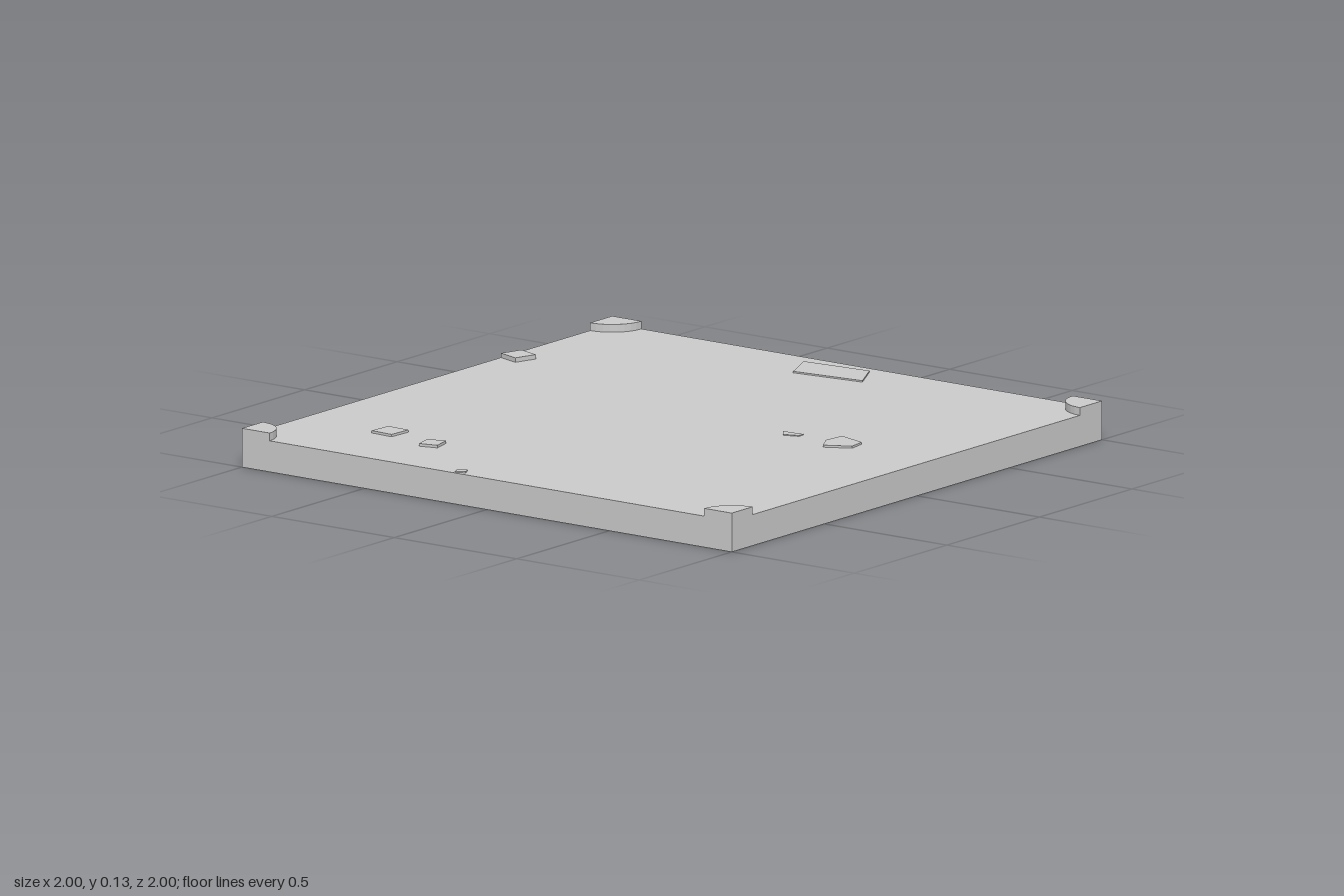
import * as THREE from 'three';

const TOP = 0.104; // height of the slab's upper face

const material = new THREE.MeshStandardMaterial({ color: 0xcccccc, flatShading: true, side: THREE.DoubleSide });

function addMesh(parent, geometry, name) {
  const mesh = new THREE.Mesh(geometry, material);
  mesh.name = name;
  parent.add(mesh);
  return mesh;
}

// Flat-topped stone from an [x, z] outline, resting on the slab
function stone(parent, name, outline, top) {
  const shape = new THREE.Shape(outline.map(([x, z]) => new THREE.Vector2(x, -z)));
  const geometry = new THREE.ExtrudeGeometry(shape, { depth: top - TOP, bevelEnabled: false });
  geometry.rotateX(-Math.PI / 2).translate(0, TOP, 0);
  return addMesh(parent, geometry, name);
}

// Square stone turned about the vertical
function tile(parent, name, x, z, width, depth, top, degrees) {
  const mesh = addMesh(parent, new THREE.BoxGeometry(width, top - TOP, depth), name);
  mesh.position.set(x, (TOP + top) / 2, z);
  mesh.rotation.y = THREE.MathUtils.degToRad(degrees);
  return mesh;
}

export function createModel() {
  const model = new THREE.Group();
  model.name = 'floorTile';

  // Hollow slab: a box without its bottom face
  const slab = new THREE.BoxGeometry(2, TOP, 2);
  const index = Array.from(slab.index.array);
  index.splice(18, 6);
  slab.setIndex(index);
  slab.clearGroups();
  slab.translate(0, TOP / 2, 0);
  addMesh(model, slab, 'slab');

  // Raised quarter-round studs in the four corners
  for (const sx of [-1, 1]) {
    for (const sz of [-1, 1]) {
      const outline = [[sx, sz]];
      const radius = sz < 0 ? 0.12 : 0.113;
      for (let i = 0; i <= 8; i++) {
        const a = (i / 8) * Math.PI / 2;
        outline.push([sx * (1 - radius * Math.cos(a)), sz * (1 - radius * Math.sin(a))]);
      }
      stone(model, 'cornerStud', outline, 0.13);
    }
  }

  // Small stones standing out of the surface
  tile(model, 'edgeStone', -0.948, -0.425, 0.082, 0.082, 0.119, -18);
  tile(model, 'largeStone', -0.645, 0.67, 0.085, 0.085, 0.112, -3);
  tile(model, 'smallStone', -0.43, 0.725, 0.065, 0.07, 0.113, 14);
  tile(model, 'frontChip', -0.125, 0.972, 0.035, 0.03, 0.108, 25);

  // Flat slabs and chips
  stone(model, 'backPlate', [[-0.17, -0.935], [0.083, -0.957], [0.15, -0.83], [-0.11, -0.8]], 0.109);
  stone(model, 'brokenPlate',
    [[0.575, -0.157], [0.68, -0.125], [0.69, -0.06], [0.605, -0.015], [0.568, -0.08]], 0.111);
  stone(model, 'chip', [[0.37, -0.11], [0.45, -0.115], [0.45, -0.09], [0.4, -0.072]], 0.107);

  return model;
}
